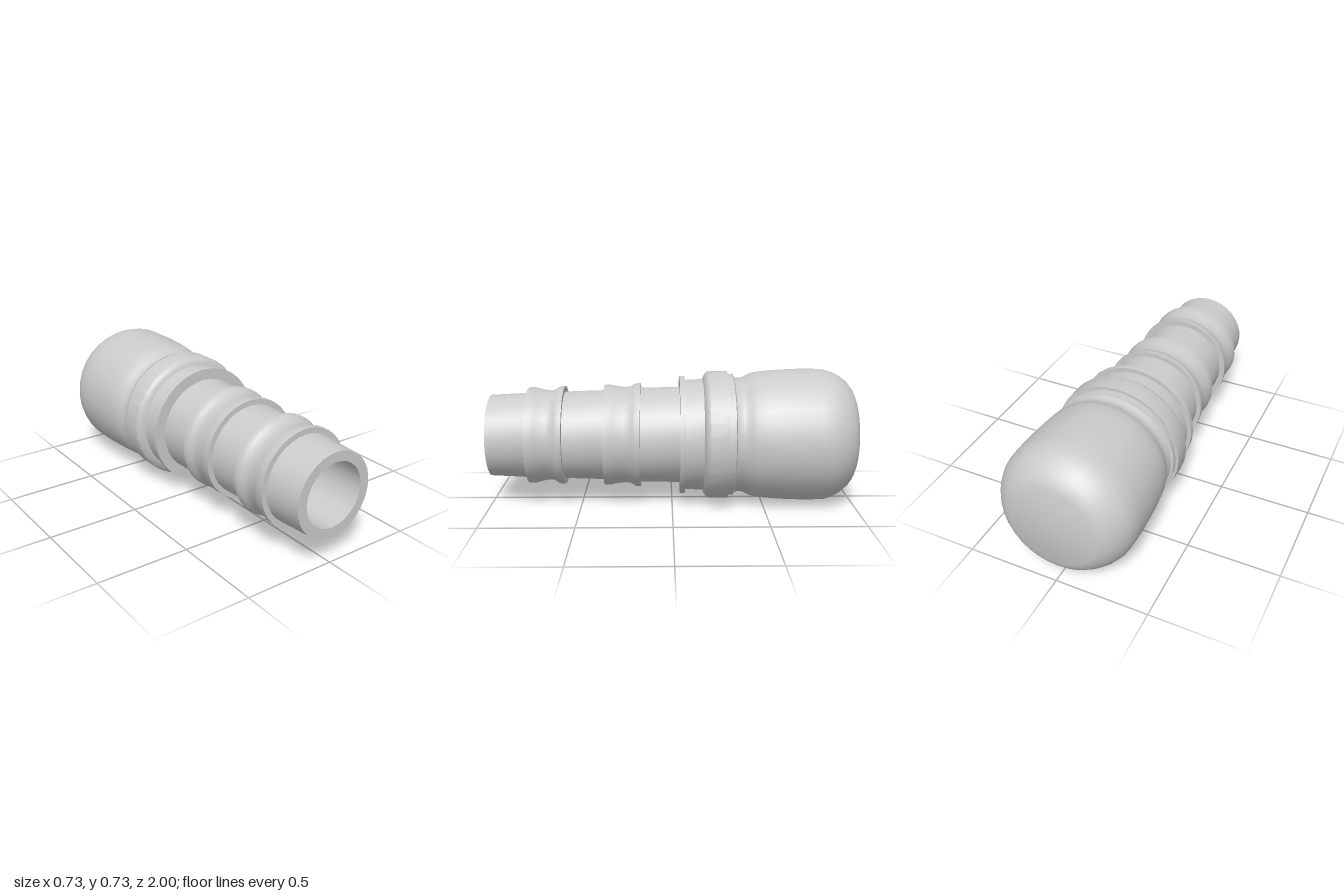
import * as THREE from 'three';
import { toCreasedNormals } from 'three/addons/utils/BufferGeometryUtils.js';

const AXIS_HEIGHT = 0.368;
const SIDES = 32;

// Turned part around the z axis; profile is [z, radius] pairs from back to front
function turned(name, profile) {
  const points = profile.map(([z, r]) => new THREE.Vector2(r, z));
  const geometry = new THREE.LatheGeometry(points, SIDES);
  geometry.rotateX(Math.PI / 2);
  const mesh = new THREE.Mesh(
    toCreasedNormals(geometry, 0.6),
    new THREE.MeshStandardMaterial({ color: 0xcccccc, side: THREE.DoubleSide })
  );
  mesh.name = name;
  return mesh;
}

// Barb with a raised back lip, a soft waist and a raised front lip
function barb(back, rBack, rWaist, rFront, rStemBack, rStemFront) {
  return [
    [back, rStemBack], [back, rBack], [back + 0.025, rBack], [back + 0.04, rBack - 0.008],
    [back + 0.06, rWaist + 0.002], [back + 0.085, rWaist], [back + 0.115, rWaist + 0.003],
    [back + 0.145, rFront - 0.005], [back + 0.165, rFront], [back + 0.2, rFront],
    [back + 0.2, rStemFront],
  ];
}

export function createModel() {
  const model = new THREE.Group();
  model.name = 'hoseFitting';

  // Rounded closed body at the back, narrowing to a neck
  model.add(turned('body', [
    [-1, 0], [-1, 0.235], [-0.985, 0.268], [-0.96, 0.3], [-0.925, 0.328], [-0.885, 0.35],
    [-0.84, 0.364], [-0.78, 0.366], [-0.7, 0.366], [-0.6, 0.362], [-0.5, 0.354],
    [-0.45, 0.347], [-0.42, 0.336], [-0.4, 0.324], [-0.38, 0.318], [-0.36, 0.318],
    [-0.34, 0.326], [-0.335, 0.34],
  ]));

  // Stepped collar and thin flange
  model.add(turned('collar', [
    [-0.335, 0.318], [-0.335, 0.338], [-0.305, 0.338], [-0.305, 0.353], [-0.2, 0.353],
    [-0.185, 0.343], [-0.175, 0.325], [-0.17, 0.31], [-0.07, 0.305],
    [-0.07, 0.328], [-0.042, 0.328], [-0.042, 0.267],
  ]));

  // Tapered stem with two barbs
  model.add(turned('barbedStem', [
    [-0.042, 0.267],
    ...barb(0.172, 0.288, 0.267, 0.279, 0.262, 0.249),
    ...barb(0.59, 0.273, 0.25, 0.266, 0.242, 0.236),
    [1, 0.225], [1, 0.172],
  ]));

  // Blind bore with a rounded bottom
  const bore = [[1, 0.172]];
  for (let i = 0; i <= 10; i++) {
    const a = (i / 10) * Math.PI / 2;
    bore.push([-0.5 - 0.172 * Math.sin(a), 0.172 * Math.cos(a)]);
  }
  model.add(turned('bore', bore));

  model.children.forEach((part) => { part.position.y = AXIS_HEIGHT; });
  return model;
}
